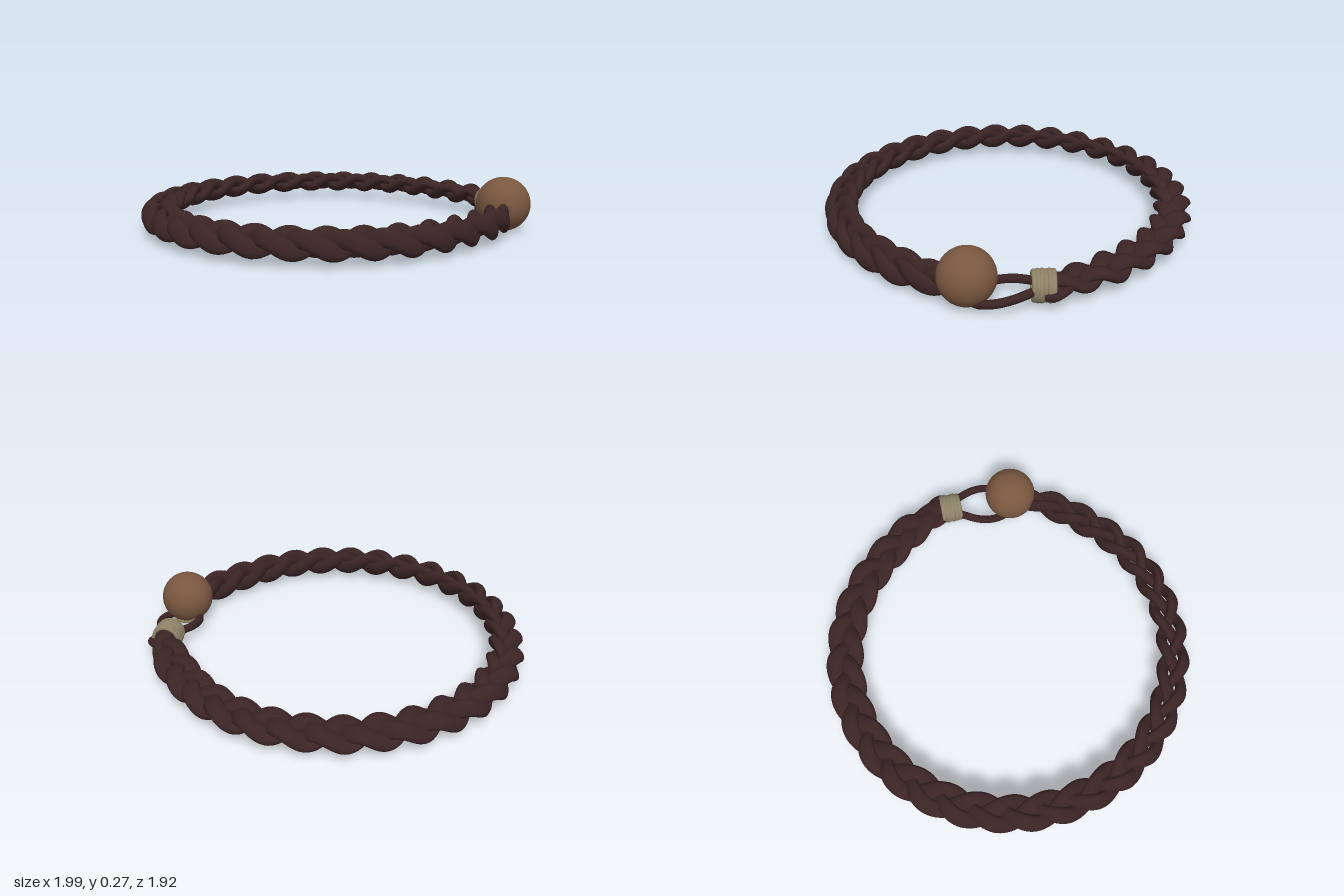
import * as THREE from 'three';

const RING = { x: -0.03, y: 0.095, radius: 0.868 };
const START = 0.17, END = Math.PI * 2 - 0.2; // braid runs from the binding, round the back, to the bead

// Sweep an ellipse along pathFn(u); shapeFn(u) gives [half width, half height, roll].
function sweep(pathFn, shapeFn, sideFn, segments, sides) {
  const positions = [], index = [];
  const t = new THREE.Vector3(), b = new THREE.Vector3(), v = new THREE.Vector3();
  for (let i = 0; i <= segments; i++) {
    const u = i / segments, p = pathFn(u);
    t.subVectors(pathFn(u + 1e-4), pathFn(u - 1e-4)).normalize();
    const n = sideFn(u, t);
    n.addScaledVector(t, -n.dot(t)).normalize();
    b.crossVectors(t, n);
    const [w, h, roll] = shapeFn(u);
    for (let j = 0; j < sides; j++) {
      const a = j / sides * Math.PI * 2;
      const ex = w * Math.cos(a), ey = h * Math.sin(a);
      v.copy(p)
        .addScaledVector(n, ex * Math.cos(roll) - ey * Math.sin(roll))
        .addScaledVector(b, ex * Math.sin(roll) + ey * Math.cos(roll));
      positions.push(v.x, v.y, v.z);
    }
  }
  for (let i = 0; i < segments; i++) {
    for (let j = 0; j < sides; j++) {
      const k = (j + 1) % sides;
      const p = i * sides + j, q = i * sides + k;
      index.push(p, q, p + sides, q, q + sides, p + sides);
    }
  }
  const geometry = new THREE.BufferGeometry();
  geometry.setAttribute('position', new THREE.Float32BufferAttribute(positions, 3));
  geometry.setIndex(index);
  geometry.computeVertexNormals();
  return geometry;
}

// One strand of the three-strand braid
function strandGeometry(phase) {
  const turns = 10;
  const angle = u => START + (END - START) * u;
  const edge = u => Math.min(u, 1 - u);
  const path = u => {
    const th = angle(u), s = u * turns * Math.PI * 2 + phase;
    const open = THREE.MathUtils.smoothstep(edge(u), -0.02, 0.06);
    const ends = 1 - THREE.MathUtils.smoothstep(edge(u), 0, 0.1);
    const r = RING.radius + 0.038 * ends + 0.055 * open * Math.sin(s);
    return new THREE.Vector3(
      RING.x + r * Math.cos(th),
      RING.y + 0.026 * Math.sin(2 * s),
      -r * Math.sin(th));
  };
  // Flat leather at the binding slowly rolls on edge towards the bead
  const shape = u => {
    const k = Math.max(0.02, Math.min(1, edge(u) / 0.004));
    return [0.046 * k, 0.028 * k, u * Math.PI / 2];
  };
  const side = u => new THREE.Vector3(Math.cos(angle(u)), 0, -Math.sin(angle(u)));
  return sweep(path, shape, side, 420, 14);
}

// Thin round cord through a few points
function cordGeometry(points, radius, segments) {
  const curve = new THREE.CatmullRomCurve3(points.map(p => new THREE.Vector3(...p)));
  return new THREE.TubeGeometry(curve, segments, radius, 10, false);
}

// Wound thread: a row of slightly uneven rings along z
function binding(name, material, x, y, z0, z1, rx, ry, count) {
  const group = new THREE.Group();
  group.name = name;
  for (let i = 0; i < count; i++) {
    const ring = new THREE.Mesh(new THREE.TorusGeometry(1, 0.16, 8, 40), material);
    ring.name = 'threadTurn';
    const swell = 1 + 0.03 * Math.sin(i * 2.3);
    ring.scale.set(rx * swell / 1.16, ry * swell / 1.16, 0.085);
    ring.position.set(x, y, z0 + (z1 - z0) * i / (count - 1));
    ring.rotation.y = 0.06 * Math.sin(i * 1.7);
    group.add(ring);
  }
  return group;
}

export function createModel() {
  const leather = new THREE.MeshStandardMaterial({ color: 0x3a2424 });
  leather.name = 'dark brown leather';
  const wood = new THREE.MeshStandardMaterial({ color: 0x7a573f });
  wood.name = 'brown wood';
  const thread = new THREE.MeshStandardMaterial({ color: 0x8f8468 });
  thread.name = 'tan thread';

  const model = new THREE.Group();
  model.name = 'braidedBracelet';
  const add = (name, geometry, material) => {
    const mesh = new THREE.Mesh(geometry, material);
    mesh.name = name;
    model.add(mesh);
    return mesh;
  };

  // Braid
  for (let i = 0; i < 3; i++) {
    add('braidStrand' + (i + 1), strandGeometry(i * Math.PI * 2 / 3), leather);
  }

  // Bead
  add('bead', new THREE.SphereGeometry(0.137, 40, 28), wood).position.set(0.86, 0.139, 0.185);

  // Fastening loop, dipping under the bead
  add('fasteningLoop', cordGeometry([
    [0.84, 0.095, -0.2], [0.82, 0.09, -0.12], [0.775, 0.075, -0.02], [0.765, 0.06, 0.06],
    [0.79, 0.045, 0.14], [0.865, 0.035, 0.18], [0.94, 0.045, 0.14],
    [0.965, 0.06, 0.06], [0.955, 0.075, -0.02], [0.91, 0.09, -0.12], [0.88, 0.095, -0.2],
  ], 0.021, 90), leather);

  // Loose cord end tucked beside the binding
  add('cordEnd', cordGeometry([
    [0.89, 0.09, -0.27], [0.925, 0.085, -0.235], [0.94, 0.075, -0.2], [0.925, 0.07, -0.165],
  ], 0.02, 20), leather);

  // Thread bindings at the loop and inside the bead
  model.add(binding('loopBinding', thread, 0.863, 0.09, -0.198, -0.112, 0.076, 0.079, 6));
  model.add(binding('beadBinding', thread, 0.86, 0.09, 0.11, 0.2, 0.076, 0.08, 6));

  return model;
}
